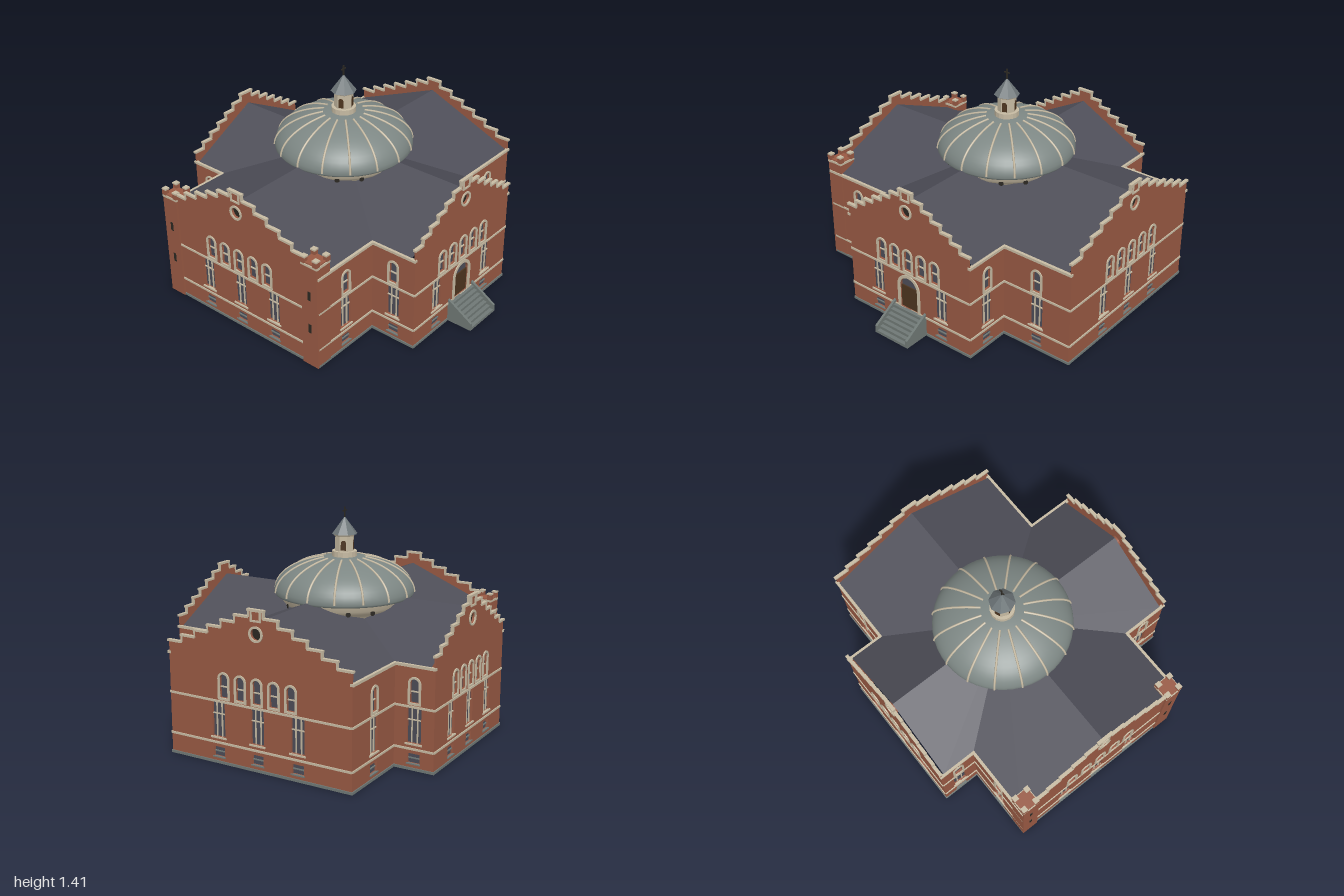
import * as THREE from 'three';

const mat = (name, color, side = THREE.FrontSide, flatShading = false) => {
  const m = new THREE.MeshStandardMaterial({ color, side, flatShading });
  m.name = name;
  return m;
};

export function createModel() {
  const D = THREE.DoubleSide;
  const brick = mat('brick', 0x985943);
  const cream = mat('cream stone', 0xc6baa2, D);
  const slate = mat('roof slate', 0x4e4e58, D);
  const glass = mat('window glass', 0x4c4c57, D);
  const stone = mat('grey stone', 0x6f7875);
  const metal = mat('dome metal', 0x7d8784, D);
  const spire = mat('spire metal', 0x6d7578, D, true);
  const wood = mat('door wood', 0x4c341f);
  const dark = mat('dark', 0x2b2822, D);

  const model = new THREE.Group();
  model.name = 'domedBuilding';
  const CX = 0.003, CZ = -0.113;          // crossing of the two wings
  const HX = 0.485, HZ = 0.623;           // half widths of the wings
  const FRONT = 0.825, BACK = -0.992, SIDE = 0.975;
  const EAVE = 0.63, RIDGE = 0.89;

  const add = (parent, name, geo, material, x = 0, y = 0, z = 0) => {
    const m = new THREE.Mesh(geo, material);
    m.name = name;
    m.position.set(x, y, z);
    parent.add(m);
    return m;
  };
  const box = (parent, name, material, w, h, d, x, y, z) =>
    add(parent, name, new THREE.BoxGeometry(w, h, d), material, x, y, z);
  const extrude = (shape, depth) =>
    new THREE.ExtrudeGeometry(shape, { depth, bevelEnabled: false, curveSegments: 10 });

  // Outline of an opening, grown by t: square, arched or round
  const outline = (o, t = 0, P = THREE.Shape) => {
    const p = new P(), r = o.w / 2 + t, b = o.y - t, top = o.y + o.h + t;
    if (o.top === 'round') {
      p.absarc(o.x, o.y + o.h / 2, r, 0, Math.PI * 2);
      return p;
    }
    p.moveTo(o.x - r, b);
    p.lineTo(o.x + r, b);
    if (o.top === 'arch') {
      p.lineTo(o.x + r, top - r);
      p.absarc(o.x, top - r, r, 0, Math.PI);
    } else {
      p.lineTo(o.x + r, top);
      p.lineTo(o.x - r, top);
    }
    p.closePath();
    return p;
  };
  const ring = (o, t) => {
    const s = outline(o, t);
    s.holes.push(outline(o, 0, THREE.Path));
    return s;
  };

  // Opening types
  const upper = x => ({ kind: 'upper', x, y: 0.41, w: 0.056, h: 0.143, top: 'arch' });
  const lower = x => ({ kind: 'lower', x, y: 0.165, w: 0.09, h: 0.212 });
  const cellar = x => ({ kind: 'cellar', x, y: 0.042, w: 0.078, h: 0.06 });
  const door = x => ({ kind: 'door', x, y: 0.13, w: 0.14, h: 0.228, top: 'arch' });
  const oculus = x => ({ kind: 'oculus', x, y: 0.788, w: 0.07, h: 0.07, top: 'round' });

  const fillOpening = (g, o) => {
    const mid = o.y + o.h / 2;
    add(g, o.kind + 'Reveal', extrude(ring(o, 0.006), 0.028), brick, 0, 0, -0.03);
    add(g, o.kind + 'Pane', new THREE.ShapeGeometry(outline(o), 10), o.kind === 'oculus' ? dark : glass, 0, 0, -0.016);
    if (o.top) {
      add(g, o.kind + 'Frame', extrude(ring(o, o.kind === 'door' ? 0.02 : 0.013), 0.01), cream, 0, 0, -0.003);
    }
    if (o.kind === 'upper') box(g, 'upperBar', cream, o.w, 0.007, 0.008, o.x, 0.475, -0.011);
    if (o.kind === 'lower') {
      for (const s of [-1, 1]) box(g, 'lowerMullion', cream, 0.006, o.h, 0.008, o.x + s * 0.018, mid, -0.011);
      box(g, 'lowerBar', cream, o.w, 0.006, 0.008, o.x, 0.305, -0.011);
      box(g, 'lowerSill', cream, 0.11, 0.01, 0.016, o.x, 0.16, 0);
    }
    if (o.kind === 'cellar') {
      box(g, 'cellarBar', stone, o.w, 0.006, 0.008, o.x, mid, -0.011);
      box(g, 'cellarSill', stone, 0.09, 0.007, 0.014, o.x, o.y - 0.003, 0);
    }
    if (o.kind === 'door') box(g, 'doorLeaf', wood, o.w, 0.155, 0.02, o.x, 0.2075, -0.018);
  };

  // One wall facing local +z, with either a stepped gable or a plain eave
  const STEPS = 6;
  const stepY = i => 0.703 + 0.043 * i;
  const wall = (name, width, x, z, turn, openings, gable) => {
    const g = new THREE.Group();
    g.name = name;
    g.position.set(x, 0, z);
    g.rotation.y = turn;
    const half = width / 2;
    const stepX = i => half - (half - 0.05) * i / STEPS;
    const s = new THREE.Shape();
    s.moveTo(-half, 0);
    s.lineTo(half, 0);
    if (gable) {
      for (let i = 0; i <= STEPS; i++) {
        s.lineTo(stepX(i), stepY(i));
        if (i < STEPS) s.lineTo(stepX(i + 1), stepY(i));
      }
      for (let i = STEPS; i >= 0; i--) {
        if (i < STEPS) s.lineTo(-stepX(i + 1), stepY(i));
        s.lineTo(-stepX(i), stepY(i));
      }
    } else {
      s.lineTo(half, EAVE);
      s.lineTo(-half, EAVE);
    }
    s.closePath();
    openings.forEach(o => s.holes.push(outline(o, 0, THREE.Path)));
    add(g, 'brickWall', extrude(s, 0.008), brick, 0, 0, -0.008);
    openings.forEach(o => fillOpening(g, o));
    box(g, 'plinth', stone, width + 0.008, 0.016, 0.012, 0, 0.008, 0);
    for (const y of [0.13, 0.385]) {
      // The lower band stops at a doorway
      const gap = y < 0.2 && openings.some(o => o.kind === 'door') ? 0.09 : 0;
      for (const d of [-1, 1]) box(g, 'stoneBand', cream, half - gap, 0.013, 0.012, d * (half + gap) / 2, y, 0);
    }
    if (gable) {
      // Stone coping over each step and riser
      for (const d of [-1, 1]) for (let i = 0; i < STEPS; i++) {
        const a = stepX(i), b = stepX(i + 1);
        box(g, 'coping', cream, a - b + 0.008, 0.013, 0.022, d * (a + b + 0.008) / 2, stepY(i), -0.004);
        box(g, 'copingRiser', cream, 0.01, 0.043, 0.018, d * b, stepY(i) + 0.0215, -0.004);
      }
      box(g, 'copingCap', cream, 0.115, 0.014, 0.022, 0, stepY(STEPS), -0.004);
      const panel = { x: 0, y: 0.905, w: 0.05, h: 0.048 };
      add(g, 'gablePanelFrame', extrude(ring(panel, 0.011), 0.008), cream, 0, 0, -0.001);
    } else {
      box(g, 'cornice', cream, width + 0.01, 0.016, 0.022, 0, EAVE, 0);
    }
    model.add(g);
  };

  const gableOpenings = (gap, bay, hasDoor) => [
    ...[-2, -1, 0, 1, 2].map(i => upper(i * gap)),
    ...[-bay, ...(hasDoor ? [] : [0]), bay].flatMap(x => [lower(x), cellar(x)]),
    ...(hasDoor ? [door(0)] : []), oculus(0)];
  wall('frontGable', HX * 2, CX, FRONT, 0, gableOpenings(0.107, 0.257, true), true);
  wall('backGable', HX * 2, CX, BACK, Math.PI, gableOpenings(0.107, 0.257, false), true);
  for (const s of [-1, 1]) {
    wall(s > 0 ? 'leftGable' : 'rightGable', HZ * 2, s * SIDE, CZ, s * Math.PI / 2, gableOpenings(0.115, 0.273, false), true);
    const bay = [upper(0), lower(0), cellar(0)];
    const inner = CX + s * HX, w = Math.abs(s * SIDE - inner), x = (s * SIDE + inner) / 2;
    wall('sideWingFrontWall', w, x, CZ + HZ, 0, bay, false);
    wall('sideWingBackWall', w, x, CZ - HZ, Math.PI, bay, false);
    wall('frontWingSideWall', FRONT - CZ - HZ, inner, (FRONT + CZ + HZ) / 2, s * Math.PI / 2, bay, false);
    wall('backWingSideWall', CZ - HZ - BACK, inner, (BACK + CZ - HZ) / 2, s * Math.PI / 2, bay, false);
  }

  // Cross roof: two slopes on each arm, meeting in valleys
  const slopes = [];
  const slope = (...p) => [0, 1, 2, 0, 2, 3].forEach(i => slopes.push(...p[i]));
  const hub = [CX, RIDGE, CZ], E = EAVE + 0.005;
  for (const s of [-1, 1]) for (const t of [-1, 1]) {
    const ex = s * 0.953, ez = t > 0 ? 0.797 : -0.965;
    const valley = [CX + s * HX, E, CZ + t * HZ];
    slope(hub, valley, [ex, E, CZ + t * HZ], [ex, RIDGE, CZ]);
    slope(hub, valley, [CX + s * HX, E, ez], [CX, RIDGE, ez]);
  }
  // Order every triangle so that it faces up
  for (let i = 0; i < slopes.length; i += 9) {
    const [ax, , az, bx, , bz, cx, , cz] = slopes.slice(i, i + 9);
    if ((bz - az) * (cx - ax) - (bx - ax) * (cz - az) < 0) {
      const b = slopes.slice(i + 3, i + 6);
      for (let k = 0; k < 3; k++) { slopes[i + 3 + k] = slopes[i + 6 + k]; slopes[i + 6 + k] = b[k]; }
    }
  }
  const roofGeo = new THREE.BufferGeometry();
  roofGeo.setAttribute('position', new THREE.Float32BufferAttribute(slopes, 3));
  roofGeo.computeVertexNormals();
  add(model, 'crossRoof', roofGeo, slate);

  // Corner turrets on the model's right side
  for (const z of [CZ - HZ + 0.053, CZ + HZ - 0.053]) {
    const g = new THREE.Group();
    g.name = 'turret';
    g.position.set(-0.93, 0, z);
    box(g, 'turretShaft', brick, 0.114, 0.7, 0.117, 0, 0.35, 0);
    box(g, 'turretTrim', cream, 0.12, 0.014, 0.123, 0, 0.707, 0);
    box(g, 'turretTop', brick, 0.108, 0.008, 0.111, 0, 0.717, 0);
    for (const a of [-1, 1]) for (const b of [-1, 1]) {
      box(g, 'merlon', brick, 0.03, 0.034, 0.03, a * 0.045, 0.731, b * 0.046);
      box(g, 'merlonCap', cream, 0.034, 0.01, 0.034, a * 0.043, 0.753, b * 0.0445);
    }
    for (const y of [0.27, 0.5]) box(g, 'turretSlit', dark, 0.006, 0.06, 0.02, -0.0565, y, 0);
    model.add(g);
  }

  // Dome with its drum and ribs
  const dome = new THREE.Group();
  dome.name = 'dome';
  dome.position.set(CX, 0, CZ - 0.003);
  const V = (x, y) => new THREE.Vector2(x, y);
  const arc = (r, t) => V(r * Math.cos(t), 0.885 + (0.225 + r - 0.44) * Math.sin(t));
  const shell = [V(0.39, 0.865), V(0.432, 0.872)];
  for (let i = 0; i <= 14; i++) shell.push(arc(0.44, i / 14 * Math.PI / 2));
  add(dome, 'domeShell', new THREE.LatheGeometry(shell, 48), metal);
  add(dome, 'drum', new THREE.LatheGeometry([V(0.33, 0.77), V(0.34, 0.795), V(0.375, 0.815), V(0.39, 0.835), V(0.4, 0.87)], 48), cream);
  const ribPath = [];
  for (let i = 0; i <= 8; i++) {
    const p = arc(0.441, 0.02 + i / 8 * 1.25);
    ribPath.push(new THREE.Vector3(0, p.y, p.x));
  }
  const ribGeo = new THREE.TubeGeometry(new THREE.CatmullRomCurve3(ribPath), 14, 0.007, 6);
  for (let i = 0; i < 16; i++) {
    const a = i * Math.PI / 8;
    add(dome, 'domeRib', ribGeo, cream).rotation.y = a;
    const b = a + Math.PI / 16;
    add(dome, 'drumOpening', new THREE.CircleGeometry(0.016, 12), dark, 0.388 * Math.sin(b), 0.822, 0.388 * Math.cos(b)).rotation.y = b;
  }

  // Lantern, spire and cross
  const prism = (name, material, r1, r2, h, y, n = 8) =>
    add(dome, name, new THREE.CylinderGeometry(r1, r2, h, n).toNonIndexed(), material, 0, y, 0).geometry.computeVertexNormals();
  prism('lanternBase', cream, 0.078, 0.078, 0.04, 1.12, 16);
  prism('lanternBody', cream, 0.06, 0.06, 0.1, 1.19);
  prism('lanternEave', cream, 0.072, 0.064, 0.014, 1.24);
  prism('spire', spire, 0.002, 0.082, 0.105, 1.298);
  for (let i = 0; i < 4; i++) {
    const a = Math.PI / 8 + i * Math.PI / 2;
    const o = { x: 0, y: 1.147, w: 0.032, h: 0.062, top: 'arch' };
    add(dome, 'lanternOpening', extrude(outline(o), 0.003), wood, 0.0545 * Math.sin(a), 0, 0.0545 * Math.cos(a)).rotation.y = a;
  }
  box(dome, 'crossPost', dark, 0.007, 0.075, 0.007, 0, 1.376, 0);
  box(dome, 'crossArm', dark, 0.042, 0.007, 0.007, 0, 1.39, 0);
  model.add(dome);

  // Entrance stairs between sloping cheek walls
  const stairs = new THREE.Group();
  stairs.name = 'entranceStairs';
  stairs.position.set(CX + 0.002, 0, 0);
  const N = 7, run = (1 - FRONT) / N;
  for (let i = 0; i < N; i++) {
    const h = 0.13 * (N - i) / N;
    box(stairs, 'step', stone, 0.236, h, run, 0, h / 2, FRONT + run * (i + 0.5));
  }
  const cheek = new THREE.Shape([V(FRONT, 0), V(1, 0), V(1, 0.05), V(FRONT, 0.157)]);
  const cheekGeo = extrude(cheek, 0.016).rotateY(-Math.PI / 2);
  for (const x of [-0.117, 0.133]) add(stairs, 'stairCheek', cheekGeo, stone, x, 0, 0);
  model.add(stairs);

  return model;
}
